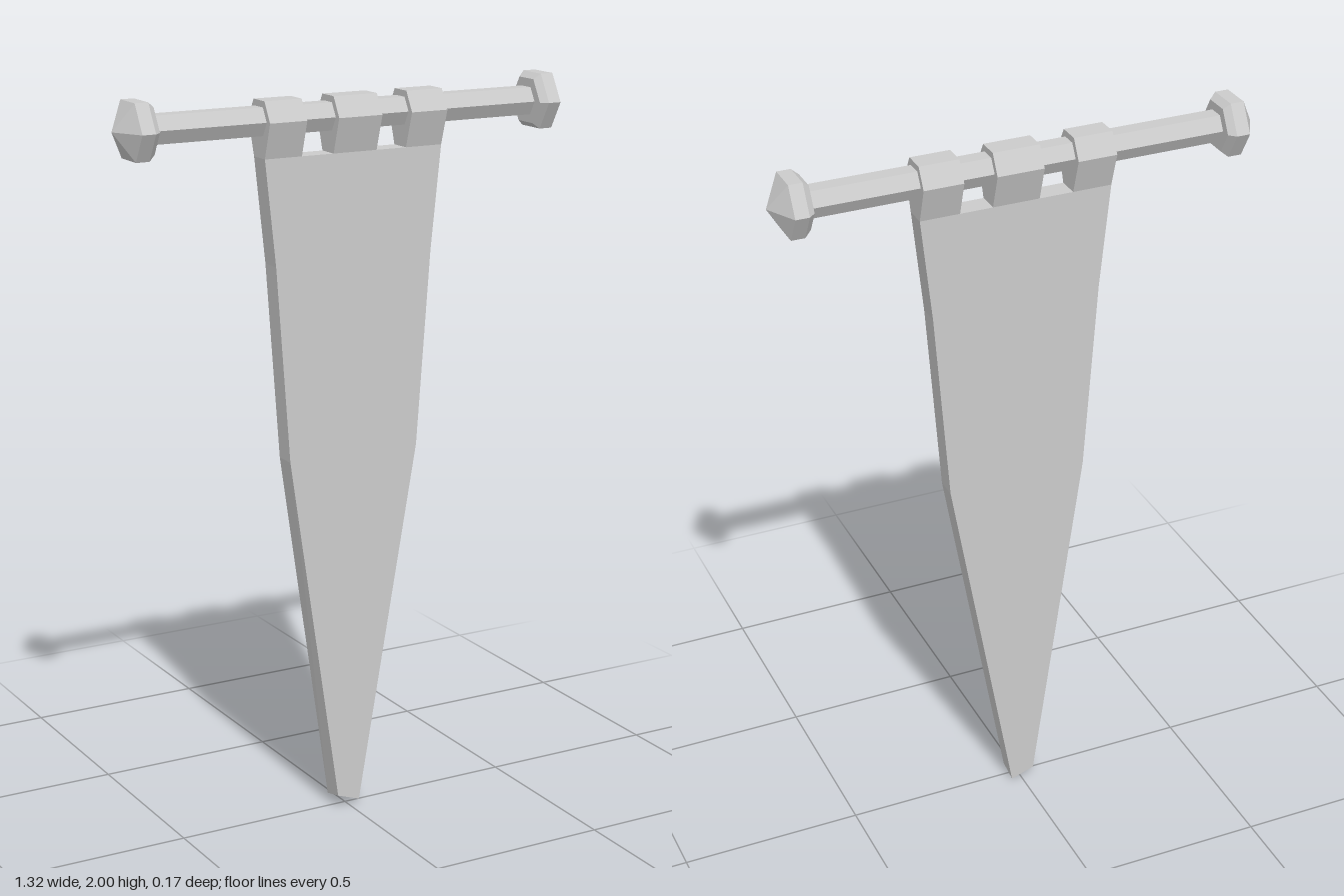
import * as THREE from 'three';

const ROD_Y = 1.927;

export function createModel() {
  const group = new THREE.Group();
  const material = new THREE.MeshStandardMaterial({ color: 0xcccccc, flatShading: true });
  const add = (name, geometry) => {
    const mesh = new THREE.Mesh(geometry, material);
    mesh.name = name;
    group.add(mesh);
    return mesh;
  };
  const shapeOf = (points) => new THREE.Shape(points.map(([x, y]) => new THREE.Vector2(x, y)));

  // Hexagonal rod along x
  const rod = new THREE.CylinderGeometry(0.042, 0.042, 1.14, 6);
  rod.rotateZ(Math.PI / 2);
  add('rod', rod).position.y = ROD_Y;

  // Faceted end knobs, pointed outwards
  const knobProfile = [[0, 0.56], [0.068, 0.56], [0.085, 0.578], [0.085, 0.615], [0, 0.66]]
    .map(([r, d]) => new THREE.Vector2(r, d));
  for (const side of [1, -1]) {
    const knob = new THREE.LatheGeometry(knobProfile, 6);
    knob.rotateZ(-side * Math.PI / 2);
    add(side > 0 ? 'leftKnob' : 'rightKnob', knob).position.y = ROD_Y;
  }

  // Loops that wrap the rod and narrow down to the cloth
  const loopShape = shapeOf([
    [-0.03, 1.832], [0.03, 1.832], [0.06, ROD_Y], [0.03, 1.98], [-0.03, 1.98], [-0.06, ROD_Y],
  ]);
  for (const [x0, x1] of [[-0.25, -0.143], [-0.05, 0.078], [0.167, 0.275]]) {
    const loop = new THREE.ExtrudeGeometry(loopShape, { depth: x1 - x0, bevelEnabled: false });
    loop.rotateY(Math.PI / 2);
    add('loop', loop).position.x = x0;
  }

  // Tapering cloth with a slanted tip
  const cloth = new THREE.ExtrudeGeometry(shapeOf([
    [-0.25, 1.832], [-0.22, 1.55], [-0.182, 1.02], [-0.038, 0.03],
    [0.028, 0.007], [0.205, 1.02], [0.245, 1.55], [0.275, 1.832],
  ]), { depth: 0.06, bevelEnabled: false });
  cloth.translate(0, 0, -0.03);
  // Tilt the bottom edge: its front sits higher than its back
  const p = cloth.attributes.position;
  for (let i = 0; i < p.count; i++) {
    if (p.getY(i) < 0.1) p.setY(i, p.getY(i) + Math.sign(p.getZ(i)) * 0.007);
  }
  cloth.computeVertexNormals();
  add('cloth', cloth);

  return group;
}
